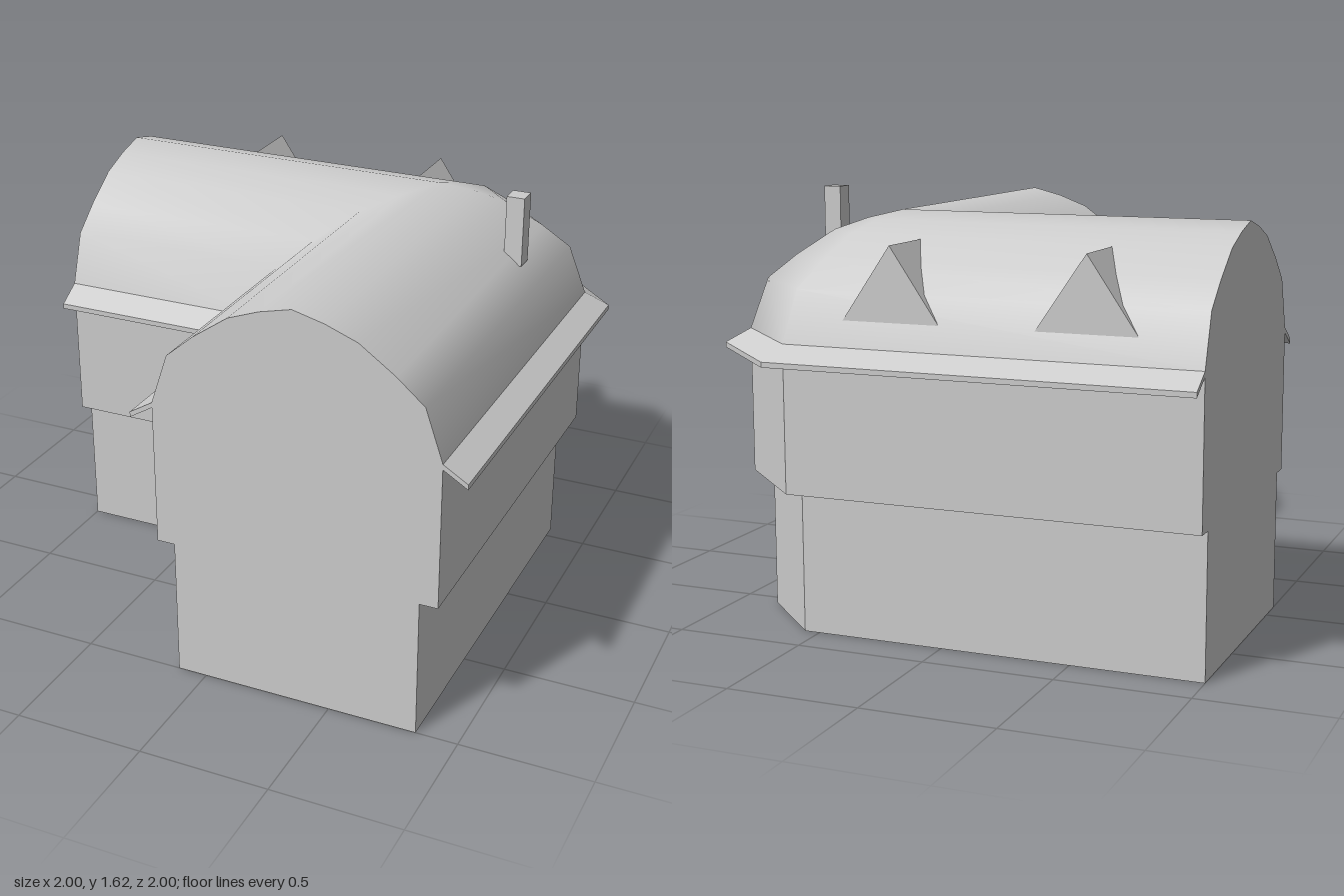
import * as THREE from 'three';
import { mergeVertices } from 'three/addons/utils/BufferGeometryUtils.js';

const C = 0.363;          // ridge line: x = C in one wing, z = -C in the other
const T = Math.tan(Math.PI / 8);
const LOW = 0.477, UP = 0.546, EAVE = 0.637;   // half widths
const FLOOR = 0.54, PLATE = 1.1;               // heights

const grey = new THREE.MeshStandardMaterial({ color: 0xcccccc });
const greyBoth = new THREE.MeshStandardMaterial({ color: 0xcccccc, side: THREE.DoubleSide });

// L-shaped plan line at offset o from the ridge; the outer corner is chamfered
function plan(o) {
  const k = o > 0 ? T * o : o;
  return [[C + o, 1], [C + o, -C - k], [C + k, -C - o], [-1, -C - o]];
}

// Sweep a profile of [offset, height] points round the L
function sweep(profile, smooth) {
  const pos = [], idx = [];
  profile.forEach(([o, y], r) => plan(o).forEach(([x, z], s) => {
    pos.push(x, y, z);
    if (r < profile.length - 1 && s < 3) {
      const a = r * 4 + s;
      idx.push(a, a + 1, a + 4, a + 1, a + 5, a + 4);
    }
  }));
  let g = new THREE.BufferGeometry();
  g.setAttribute('position', new THREE.Float32BufferAttribute(pos, 3));
  g.setIndex(idx);
  g = smooth ? mergeVertices(g, 1e-4) : g.toNonIndexed();
  g.computeVertexNormals();
  return g;
}

// Flat end face of a profile on either wing
function endFace(profile, wing) {
  const sign = wing === 0 ? 1 : -1;
  const g = new THREE.ShapeGeometry(new THREE.Shape(profile.map(([o, y]) => new THREE.Vector2(o * sign, y))));
  if (wing === 0) return g.translate(C, 0, 1);
  return g.rotateY(-Math.PI / 2).translate(-1, 0, -C);
}

const mirror = (profile) => profile.map(([o, y]) => [-o, y]).reverse();

export function createModel() {
  const group = new THREE.Group();
  const add = (name, geometry, material = grey) => {
    const m = new THREE.Mesh(geometry, material);
    m.name = name;
    group.add(m);
    return m;
  };

  // Storey walls
  const lower = [[LOW, 0], [LOW, FLOOR]];
  const upper = [[UP, FLOOR], [UP, PLATE]];
  add('lowerOuterWall', sweep(lower), greyBoth);
  add('lowerInnerWall', sweep(mirror(lower)), greyBoth);
  add('upperOuterWall', sweep(upper));
  add('upperInnerWall', sweep(mirror(upper)));

  // Jettied floor, seen from below
  add('floor', sweep([[-UP, FLOOR], [0, FLOOR], [UP, FLOOR]]));

  // Barrel roof
  const half = [[UP, PLATE], [0.48, 1.295], [0.375, 1.385], [0.24, 1.48], [0.12, 1.525]];
  const roof = [...half, [0, 1.555], ...mirror(half)];
  add('roof', sweep(roof, true));

  // Sloping eaves
  const eave = [[UP, 1.08], [EAVE, 1.025], [EAVE, 1.045], [UP, PLATE]];
  add('outerEave', sweep(eave));
  add('innerEave', sweep(mirror(eave)));

  // Gable ends
  for (const wing of [0, 1]) {
    add('lowerGable', endFace([...lower, ...mirror(lower)], wing), greyBoth);
    add('upperGable', endFace([[UP, FLOOR], ...roof, [-UP, FLOOR]], wing));
    add('outerEaveEnd', endFace(eave, wing));
    add('innerEaveEnd', endFace(mirror(eave), wing));
  }

  // Dormers on the back slope
  const tri = new THREE.Shape([[-0.195, 1.185], [0.195, 1.185], [0, 1.47]].map(([x, y]) => new THREE.Vector2(x, y)));
  for (const x of [-0.57, 0.17]) {
    add('dormer', new THREE.ExtrudeGeometry(tri, { depth: 0.265, bevelEnabled: false })).position.set(x, 0, -0.877);
  }

  // Chimney
  add('chimney', new THREE.BoxGeometry(0.07, 0.27, 0.075)).position.set(0.745, 1.49, -0.175);

  return group;
}
